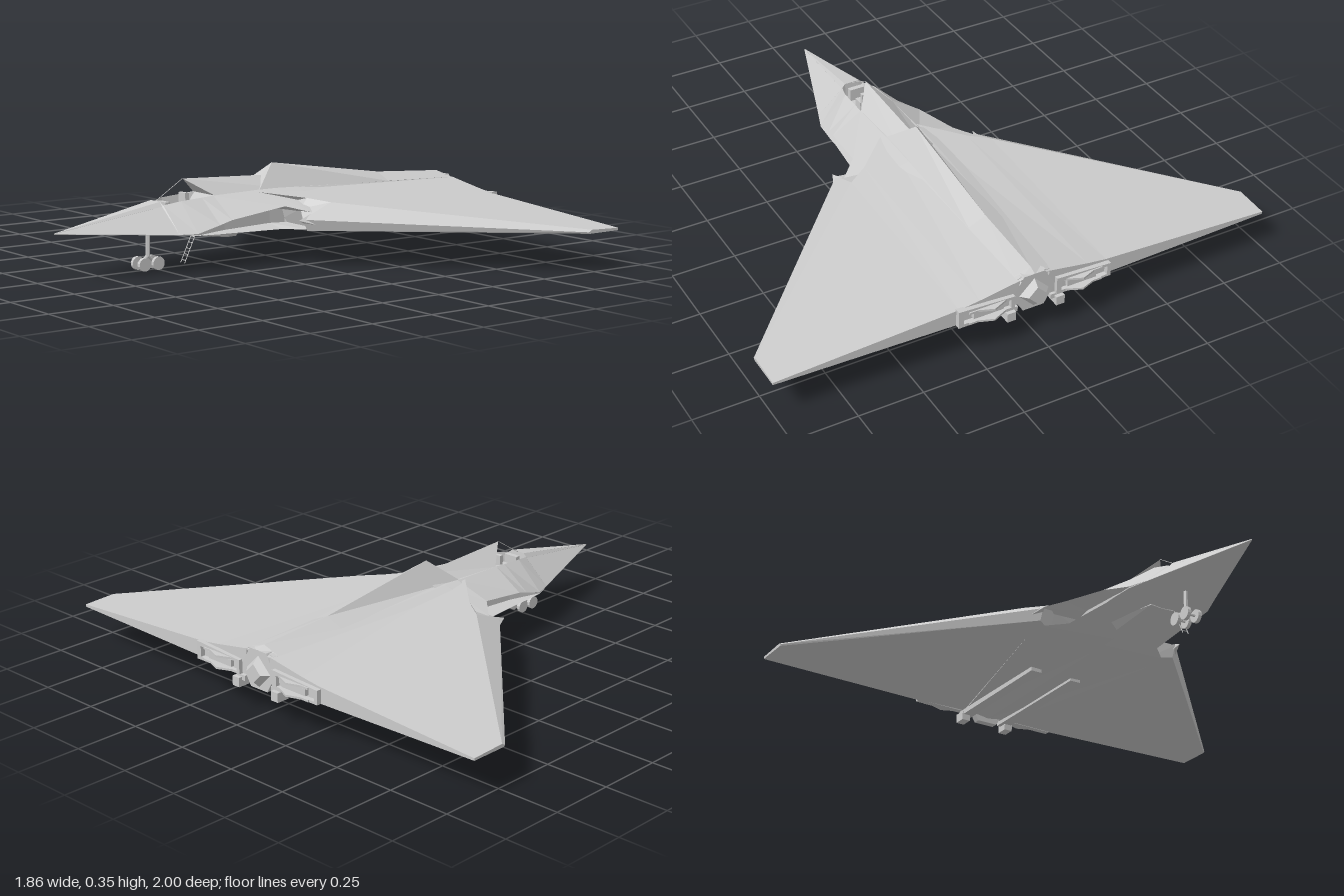
import * as THREE from 'three';

const grey = new THREE.MeshStandardMaterial({ color: 0xcccccc, flatShading: true, side: THREE.DoubleSide });

// Closed faceted solid from matching rings of [x, y, z] points, turned outward by its signed volume
function loft(rings) {
  const tris = [];
  const n = rings[0].length;
  for (let i = 0; i + 1 < rings.length; i++) {
    for (let j = 0; j < n; j++) {
      const k = (j + 1) % n, a = rings[i], b = rings[i + 1];
      tris.push([a[j], b[j], b[k]], [a[j], b[k], a[k]]);
    }
  }
  const cap = (ring, flip) => {
    const c = [0, 1, 2].map(d => ring.reduce((s, p) => s + p[d], 0) / n);
    ring.forEach((p, j) => {
      const q = ring[(j + 1) % n];
      tris.push(flip ? [c, q, p] : [c, p, q]);
    });
  };
  cap(rings[0], false);
  cap(rings[rings.length - 1], true);
  let volume = 0;
  const [A, B, C] = [new THREE.Vector3(), new THREE.Vector3(), new THREE.Vector3()];
  tris.forEach(t => { volume += A.fromArray(t[0]).dot(B.fromArray(t[1]).cross(C.fromArray(t[2]))); });
  if (volume < 0) tris.forEach(t => t.reverse());
  const g = new THREE.BufferGeometry();
  g.setAttribute('position', new THREE.Float32BufferAttribute(tris.flat(2), 3));
  g.computeVertexNormals();
  return g;
}

// Symmetric ring at station x from a half profile of [z, y], top centre to bottom centre
function ring(x, half) {
  const at = ([z, y, dx = 0]) => [x + dx, y, z];
  const other = half.slice(1, -1).reverse().map(([z, y, dx]) => [-z, y, dx]);
  return [...half, ...other].map(at);
}

export function createModel() {
  const model = new THREE.Group();
  const add = (name, geometry, x = 0, y = 0, z = 0) => {
    const m = new THREE.Mesh(geometry, grey);
    m.name = name;
    m.position.set(x, y, z);
    model.add(m);
    return m;
  };
  const box = (name, x, y, z, w, h, d) => add(name, new THREE.BoxGeometry(w, h, d), x, y, z);

  // Fuselage: [x, top y, floor half width, rim z, rim y, lip z, lip y, recess z, lower z, lower y, keel y]
  const stations = [
    [-0.93, 0.171, 0.001, 0.001, 0.17, 0.001, 0.169, 0.001, 0.001, 0.168, 0.167],
    [-0.50, 0.252, 0.03, 0.045, 0.235, 0.15, 0.145, 0.15, 0.15, 0.143, 0.125],
    [-0.495, 0.195, 0.03, 0.045, 0.24, 0.152, 0.145, 0.152, 0.152, 0.143, 0.125],
    [-0.43, 0.195, 0.055, 0.064, 0.252, 0.175, 0.145, 0.173, 0.175, 0.138, 0.122],
    [-0.34, 0.195, 0.055, 0.068, 0.258, 0.185, 0.17, 0.15, 0.18, 0.136, 0.12],
    [-0.29, 0.262, 0.055, 0.07, 0.262, 0.19, 0.185, 0.14, 0.18, 0.135, 0.12],
    [-0.07, 0.268, 0.055, 0.07, 0.266, 0.217, 0.22, 0.12, 0.2, 0.133, 0.122],
    [0.00, 0.268, 0.055, 0.07, 0.266, 0.29, 0.2, 0.12, 0.27, 0.133, 0.122],
    [0.10, 0.266, 0.055, 0.07, 0.263, 0.28, 0.2, 0.2, 0.27, 0.134, 0.122],
    [0.88, 0.245, 0.05, 0.066, 0.24, 0.1, 0.2, 0.1, 0.1, 0.135, 0.12],
  ];
  add('fuselage', loft(stations.map(([x, t, fz, rz, ry, lz, ly, iz, bz, by, k]) => ring(x, [
    [0, t], [fz, t], [rz, ry], [lz, ly], [iz, ly - (ly - by) * 0.15], [iz, by + (ly - by) * 0.15], [bz, by], [0, k],
  ]))));

  // Wings: ring of leading edge, crease, trailing edge and underside per span station
  const span = [
    [0.06, [-0.02, 0.2], [-0.12, 0.264], [0.89, 0.24], [0.89, 0.14], [0.0, 0.134]],
    [0.22, [0.0, 0.205], [0.03, 0.243], [0.888, 0.212], [0.888, 0.138], [0.03, 0.134]],
    [0.30, [-0.05, 0.178], [0.08, 0.232], [0.886, 0.2], [0.886, 0.137], [-0.03, 0.135]],
    [1.00, [0.72, 0.148], [0.735, 0.156], [0.87, 0.151], [0.87, 0.142], [0.725, 0.142]],
  ];
  for (const s of [1, -1]) {
    const side = s > 0 ? 'left' : 'right';
    add(side + 'Wing', loft(span.map(([z, ...pts]) => pts.map(([x, y]) => [x, y, z * s]))));

    // Small forward tooth at the intake cowl
    add(side + 'IntakeTooth', loft([
      [[-0.07, 0.177, 0.305 * s], [-0.07, 0.175, 0.305 * s], [-0.07, 0.176, 0.304 * s]],
      [[0.02, 0.205, 0.29 * s], [0.02, 0.15, 0.34 * s], [0.02, 0.137, 0.28 * s]],
    ]));

    // Engine outlet: rectangular frame with an inner block
    const frame = new THREE.Shape([[0.085, 0.135], [0.31, 0.138], [0.31, 0.192], [0.085, 0.205]]
      .map(p => new THREE.Vector2(...p)));
    frame.holes.push(new THREE.Path([[0.105, 0.147], [0.105, 0.188], [0.295, 0.182], [0.295, 0.147]]
      .map(p => new THREE.Vector2(...p))));
    const outlet = add(side + 'EngineOutlet', new THREE.ExtrudeGeometry(frame, { depth: 0.025, bevelEnabled: false }), 0.88);
    // Frame is drawn across the span, then turned to face aft
    outlet.geometry.applyMatrix4(new THREE.Matrix4().set(0, 0, 1, 0, 0, 1, 0, 0, -1, 0, 0, 0, 0, 0, 0, 1));
    if (s > 0) outlet.geometry.translate(0, 0, 0.395);
    box(side + 'NozzleBlock', 0.893, 0.166, 0.19 * s, 0.02, 0.026, 0.12);

    // Pointed nozzle flaps above and below the outlet
    for (const y of [0.188, 0.143]) {
      const flap = new THREE.Shape([[0.87, 0.1], [0.9, 0.11], [0.93, 0.18], [0.91, 0.235], [0.91, 0.27], [0.87, 0.27]]
        .map(([x, z]) => new THREE.Vector2(x, z * s)));
      const g = new THREE.ExtrudeGeometry(flap, { depth: 0.008, bevelEnabled: false });
      add(side + 'NozzleFlap', g.rotateX(Math.PI / 2), 0, y + 0.004);
    }
    box(side + 'TailBlock', 0.885, 0.108, 0.1 * s, 0.05, 0.036, 0.034);
    box(side + 'BellyRail', 0.615, 0.124, 0.09 * s, 0.56, 0.02, 0.045);
  }

  // Spine: overhanging point behind the cockpit, then the tall dorsal ridge
  add('forwardSpine', loft([
    ring(-0.285, [[0, 0.325, -0.095], [0.07, 0.262], [0, 0.262]]),
    ring(0.05, [[0, 0.308], [0.07, 0.262], [0, 0.25]]),
  ]));
  add('dorsalRidge', loft([
    ring(-0.08, [[0, 0.355, 0.11], [0.07, 0.264], [0, 0.25]]),
    ring(0.55, [[0, 0.28], [0.07, 0.25], [0, 0.23]]),
    ring(0.86, [[0, 0.262], [0.066, 0.241], [0, 0.2]]),
    ring(0.89, [[0, 0.25], [0.06, 0.238], [0, 0.2]]),
  ]));

  // Centre tail: frame and diamond cone
  const tailFrame = new THREE.CylinderGeometry(0.085, 0.085, 0.03, 6).rotateZ(-Math.PI / 2);
  add('tailFrame', tailFrame, 0.875, 0.175);
  add('tailDiamond', new THREE.CylinderGeometry(0.035, 0.065, 0.03, 4).rotateZ(-Math.PI / 2), 0.9, 0.17);

  // Belly wedge
  add('bellyWedge', loft([
    ring(-0.39, [[0, 0.135], [0.05, 0.13], [0.05, 0.122], [0, 0.119]]),
    ring(-0.18, [[0, 0.135], [0.09, 0.132], [0.06, 0.1], [0, 0.087]]),
  ]));

  // Cockpit fittings
  box('seat', -0.4, 0.212, 0, 0.04, 0.035, 0.05);
  box('seatBack', -0.375, 0.238, 0, 0.016, 0.07, 0.045);
  box('instrumentPanel', -0.465, 0.222, 0, 0.02, 0.05, 0.06);
  const rod = (name, a, b, r) => add(name, new THREE.TubeGeometry(
    new THREE.LineCurve3(new THREE.Vector3(...a), new THREE.Vector3(...b)), 1, r, 6));
  rod('canopyBow', [-0.5, 0.25, 0], [-0.38, 0.325, 0], 0.0012);

  // Nose gear: strut, bogie beam, two axles with paired wheels
  rod('noseStrut', [-0.535, 0.14, 0], [-0.535, 0.05, 0], 0.008);
  for (const x of [-0.565, -0.505]) {
    rod('bogieArm', [-0.535, 0.055, 0], [x, 0.025, 0], 0.006);
    rod('axle', [x, 0.025, -0.025], [x, 0.025, 0.025], 0.005);
    for (const z of [-0.023, 0.023]) {
      add('noseWheel', new THREE.CylinderGeometry(0.025, 0.025, 0.014, 14).rotateX(Math.PI / 2), x, 0.025, z);
    }
  }
  // Boarding ladder
  for (const z of [0.06, 0.085]) rod('ladderRail', [-0.43, 0.025, z], [-0.38, 0.13, z], 0.0015);
  for (let i = 0; i < 5; i++) {
    const x = -0.425 + i * 0.01, y = 0.035 + i * 0.021;
    rod('ladderRung', [x, y, 0.06], [x, y, 0.085], 0.0015);
  }
  return model;
}
